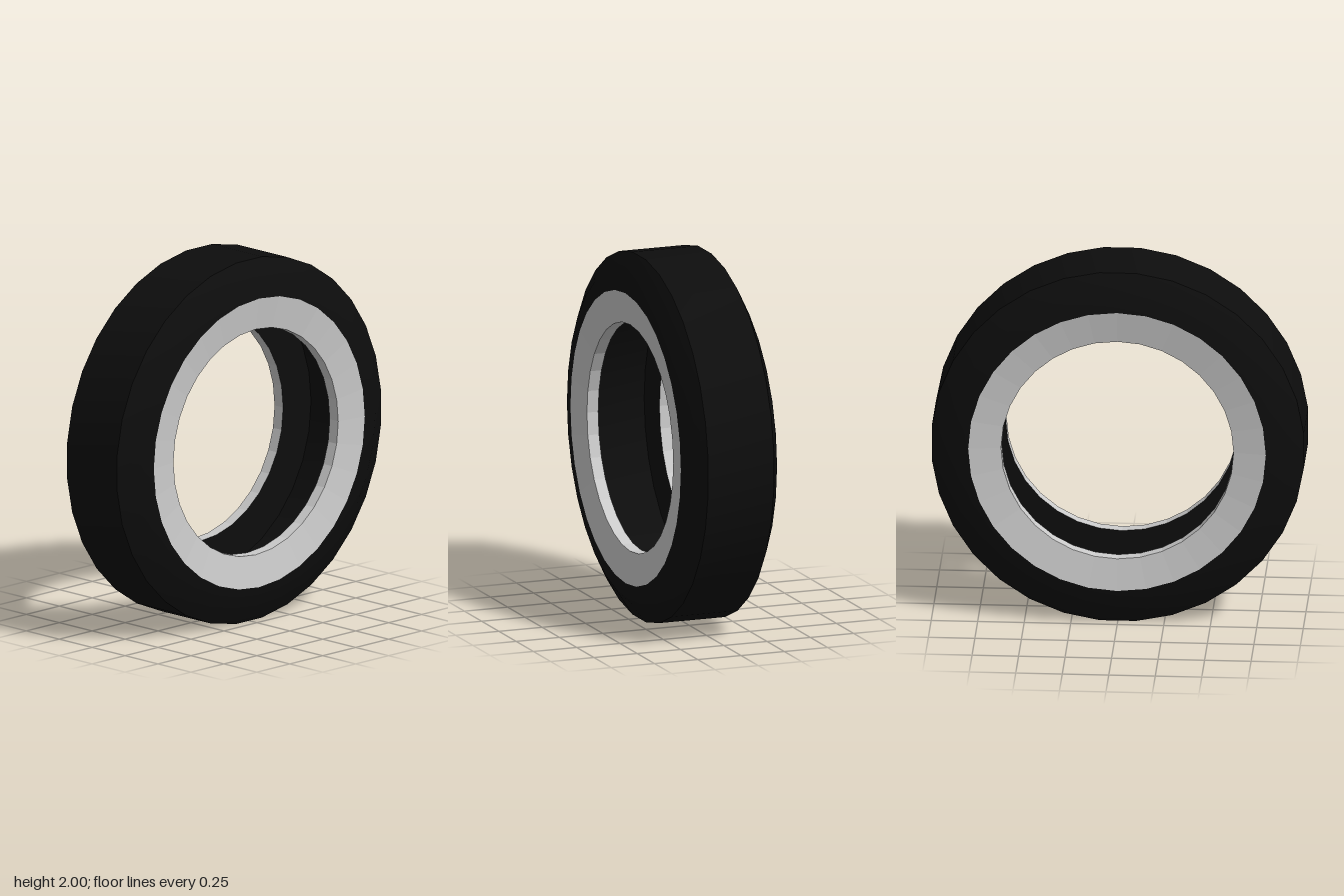
import * as THREE from 'three';
import { toCreasedNormals } from 'three/addons/utils/BufferGeometryUtils.js';

const SIDES = 32;
const HALF = Math.PI / SIDES;

// Revolve a [radius, z] profile around the z axis; the tread rings are
// staggered by half a side so that the wheel rests on a flat.
function ring(profile) {
  const geo = new THREE.LatheGeometry(profile.map(([r, z]) => new THREE.Vector2(r, z)), SIDES);
  const pos = geo.attributes.position;
  const v = new THREE.Vector3();
  const axis = new THREE.Vector3(0, 1, 0);
  for (let i = 0; i < pos.count; i++) {
    v.fromBufferAttribute(pos, i);
    if (Math.hypot(v.x, v.z) > 0.95) {
      v.applyAxisAngle(axis, HALF);
      pos.setXYZ(i, v.x, v.y, v.z);
    }
  }
  geo.rotateX(Math.PI / 2);
  return toCreasedNormals(geo, 0.5);
}

export function createModel() {
  const group = new THREE.Group();
  group.name = 'tyreWithRims';
  const rubber = new THREE.MeshStandardMaterial({ color: 0x0d0d0d });
  const metal = new THREE.MeshStandardMaterial({ color: 0xcccccc, flatShading: true });

  const add = (name, profile, material) => {
    const mesh = new THREE.Mesh(ring(profile), material);
    mesh.name = name;
    mesh.position.y = 1;
    group.add(mesh);
  };
  const mirrored = (profile) => profile.map(([r, z]) => [r, -z]).reverse();

  // Tyre: tread, sidewalls and a deep hollow inside, as one closed section
  const tread = 1 / Math.cos(HALF);
  const frontHalf = [
    [tread, 0.19], [0.9, 0.248], [0.8, 0.268],
    [0.625, 0.177], [0.83, 0.17],
  ];
  const backHalf = mirrored(frontHalf);
  add('tyre', [...frontHalf, ...backHalf, frontHalf[0]], rubber);

  // Rims: slightly dished face with a short lip turned into the opening
  const rim = [[0.8, 0.268], [0.625, 0.242], [0.625, 0.177]];
  add('frontRim', rim, metal);
  add('backRim', mirrored(rim), metal);

  return group;
}
